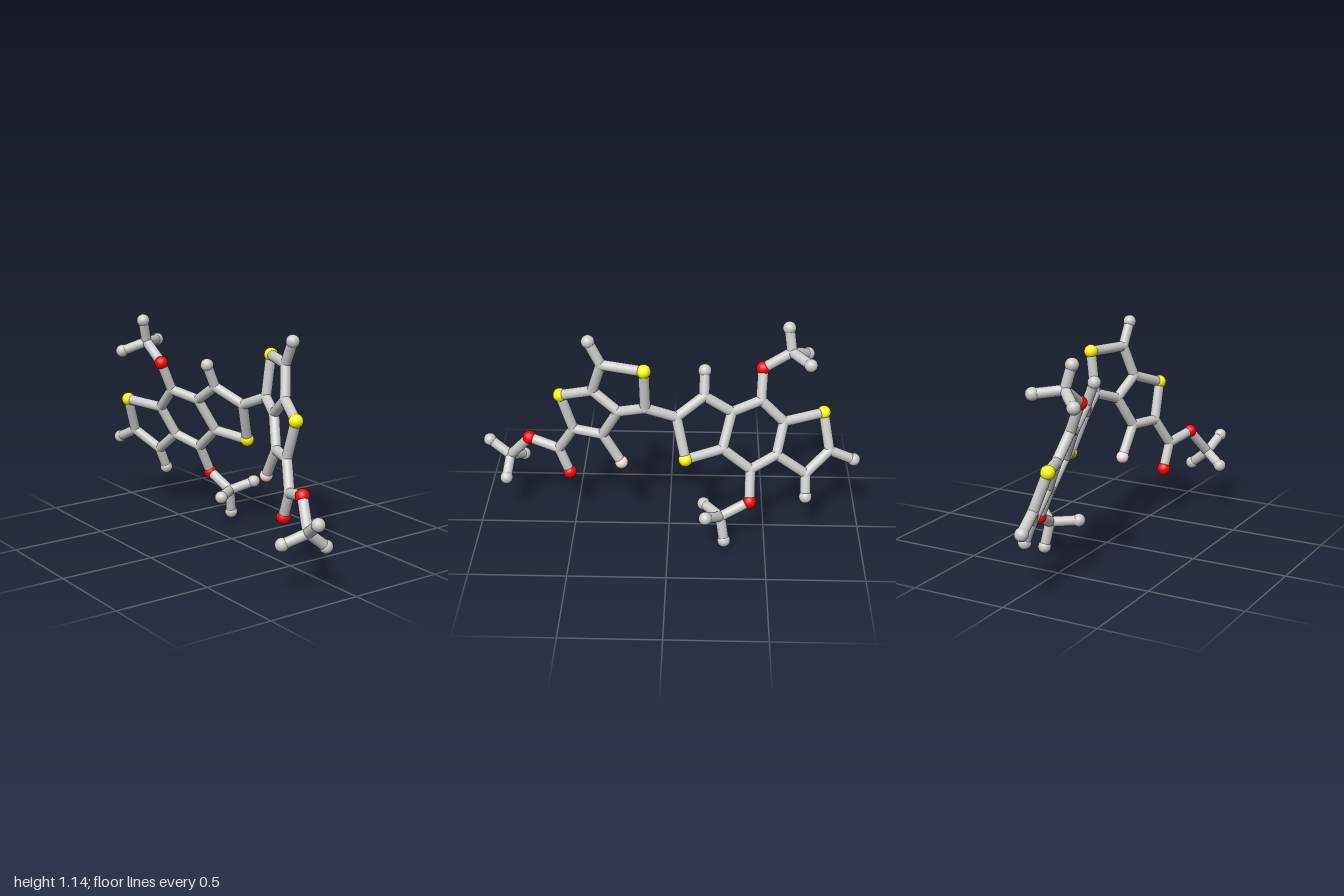
import * as THREE from 'three';

const BOND_R = 0.027;
const mat = (color) => new THREE.MeshStandardMaterial({ color });
const GREY = mat(0xcccccc);

// Atom kinds: ball radius and material
const KINDS = {
  carbon: { r: 0.028, m: GREY },
  hydrogen: { r: 0.034, m: GREY },
  sulfur: { r: 0.036, m: mat(0xffff00) },
  oxygen: { r: 0.036, m: mat(0xff0000) },
  fluorine: { r: 0.034, m: mat(0xffe1e6) },
};

// The two fused ring systems are flat: z follows from x and y
const planeA = (x, y) => -0.39 - 0.3465 * x + 0.392 * y;
const planeB = (x, y) => -0.071 + 0.344 * x - 0.1316 * y;

// Each atom: [kind, x, y, z or plane]
const ATOMS = {
  // three-ring system: central hexagon
  a1: ['carbon', -0.59, 0.605, planeA],
  a2: ['carbon', -0.47, 0.725, planeA],
  a3: ['carbon', -0.32, 0.69, planeA],
  a4: ['carbon', -0.275, 0.52, planeA],
  a5: ['carbon', -0.42, 0.4, planeA],
  a6: ['carbon', -0.555, 0.45, planeA],
  // outer pentagon
  sA: ['sulfur', -0.8, 0.62, planeA],
  a7: ['carbon', -0.835, 0.43, planeA],
  a8: ['carbon', -0.71, 0.335, planeA],
  hA7: ['hydrogen', -0.967, 0.365, planeA],
  hA8: ['hydrogen', -0.712, 0.22, planeA],
  // inner pentagon
  a9: ['carbon', -0.178, 0.785, planeA],
  a10: ['carbon', -0.04, 0.705, planeA],
  sB: ['sulfur', -0.088, 0.497, planeA],
  hA9: ['hydrogen', -0.18, 0.905, planeA],
  // upper side group
  oU: ['oxygen', -0.477, 0.878, 0.117],
  cU: ['carbon', -0.62, 0.97, 0.118],
  hU1: ['hydrogen', -0.603, 1.09, 0.148],
  hU2: ['hydrogen', -0.71, 0.916, 0.217],
  hU3: ['hydrogen', -0.708, 0.956, -0.005],
  // lower side group
  oL: ['oxygen', -0.418, 0.246, -0.155],
  cL: ['carbon', -0.27, 0.17, -0.182],
  hL1: ['hydrogen', -0.29, 0.038, -0.205],
  hL2: ['hydrogen', -0.192, 0.222, -0.285],
  hL3: ['hydrogen', -0.183, 0.172, -0.063],
  // two-ring system
  b1: ['carbon', 0.115, 0.77, planeB],
  sC: ['sulfur', 0.12, 0.988, planeB],
  b2: ['carbon', 0.335, 0.985, planeB],
  b3: ['carbon', 0.385, 0.82, planeB],
  b4: ['carbon', 0.255, 0.72, planeB],
  sD: ['sulfur', 0.557, 0.758, planeB],
  b5: ['carbon', 0.495, 0.56, planeB],
  b6: ['carbon', 0.34, 0.56, planeB],
  hB2: ['hydrogen', 0.397, 1.108, planeB],
  fB6: ['fluorine', 0.245, 0.403, planeB],
  // ester tail
  c1: ['carbon', 0.58, 0.415, planeB],
  oD: ['oxygen', 0.527, 0.279, 0.067],
  oE: ['oxygen', 0.74, 0.45, 0.122],
  cT: ['carbon', 0.855, 0.31, 0.178],
  hT1: ['hydrogen', 0.965, 0.386, 0.208],
  hT2: ['hydrogen', 0.795, 0.258, 0.283],
  hT3: ['hydrogen', 0.868, 0.228, 0.078],
};

// Bonds as chains of neighbouring atoms
const CHAINS = {
  hexagonBond: ['a1 a2 a3 a4 a5 a6 a1'],
  outerRingBond: ['a1 sA a7 a8 a6', 'a7 hA7', 'a8 hA8'],
  innerRingBond: ['a3 a9 a10 sB a4', 'a9 hA9'],
  upperGroupBond: ['a2 oU cU hU1', 'hU2 cU hU3'],
  lowerGroupBond: ['a5 oL cL hL1', 'hL2 cL hL3'],
  linkBond: ['a10 b1'],
  doubleRingBond: ['b1 sC b2 b3 b4 b1', 'b3 sD b5 b6 b4', 'b2 hB2', 'b6 fB6'],
  esterTailBond: ['b5 c1 oE cT hT1', 'c1 oD', 'hT2 cT hT3'],
};

export function createModel() {
  const model = new THREE.Group();
  model.name = 'molecule';
  const atoms = new THREE.Group();
  atoms.name = 'atoms';
  const bonds = new THREE.Group();
  bonds.name = 'bonds';
  model.add(atoms, bonds);

  // Balls
  const pos = {};
  const ball = new THREE.SphereGeometry(1, 24, 16);
  for (const [id, [kind, x, y, z]] of Object.entries(ATOMS)) {
    pos[id] = new THREE.Vector3(x, y, typeof z === 'function' ? z(x, y) : z);
    const mesh = new THREE.Mesh(ball, KINDS[kind].m);
    mesh.name = kind + 'Atom';
    mesh.position.copy(pos[id]);
    mesh.scale.setScalar(KINDS[kind].r);
    atoms.add(mesh);
  }

  // Sticks
  const stick = new THREE.CylinderGeometry(BOND_R, BOND_R, 1, 20, 1, true);
  const up = new THREE.Vector3(0, 1, 0);
  for (const [name, chains] of Object.entries(CHAINS)) {
    for (const chain of chains) {
      const ids = chain.split(' ');
      for (let i = 1; i < ids.length; i++) {
        const from = pos[ids[i - 1]], to = pos[ids[i]];
        const dir = to.clone().sub(from);
        const mesh = new THREE.Mesh(stick, GREY);
        mesh.name = name;
        mesh.position.copy(from).add(to).multiplyScalar(0.5);
        mesh.scale.y = dir.length();
        mesh.quaternion.setFromUnitVectors(up, dir.normalize());
        bonds.add(mesh);
      }
    }
  }
  return model;
}
